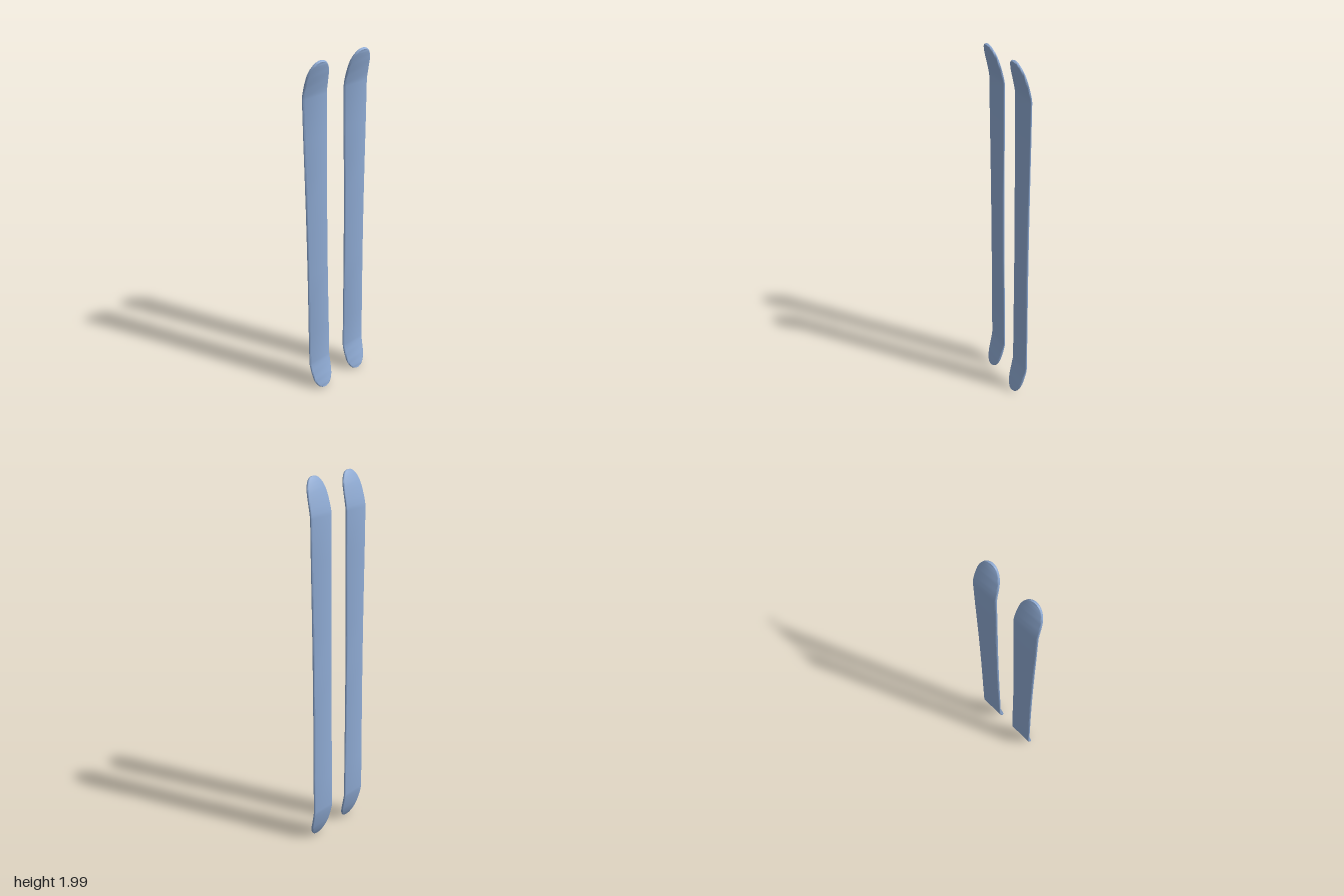
import * as THREE from 'three';
import { toCreasedNormals } from 'three/addons/utils/BufferGeometryUtils.js';

const THICK = 0.013;

// Upper half of one ski: [height from middle, base x, half width]
const HALF = [
  [0, -0.03, 0.066], [0.2, -0.03, 0.0665], [0.4, -0.03, 0.068], [0.6, -0.03, 0.07],
  [0.81, -0.03, 0.071], [0.83, -0.0275, 0.071], [0.86, -0.021, 0.07], [0.89, -0.0135, 0.068],
  [0.92, -0.005, 0.065], [0.943, 0.002, 0.06], [0.96, 0.0078, 0.053],
  [0.975, 0.0134, 0.044], [0.985, 0.0172, 0.035], [0.992, 0.0199, 0.025], [0.996, 0.0215, 0.012],
];

// Rounded-edge cross-section: [side, inset from edge, fraction of thickness]
const SECTION = [
  [-1, 0.006, 0], [-1, 0.0015, 0.15], [-1, 0, 0.4], [-1, 0.0015, 0.8], [-1, 0.007, 1],
  [1, 0.007, 1], [1, 0.0015, 0.8], [1, 0, 0.4], [1, 0.0015, 0.15], [1, 0.006, 0],
];

function skiGeometry() {
  // Mirror the half into a full run of stations from bottom to top
  const lower = HALF.slice(1).reverse().map(([y, x, w]) => [-y, x, w]);
  const rows = [...lower, ...HALF];
  const n = SECTION.length;
  const pos = [];
  const index = [];
  rows.forEach(([y, x, w], r) => {
    // Thickness runs square to the bent centre line
    const a = rows[Math.max(r - 1, 0)];
    const b = rows[Math.min(r + 1, rows.length - 1)];
    const t = new THREE.Vector2(b[1] - a[1], b[0] - a[0]).normalize();
    for (const [side, inset, v] of SECTION) {
      const z = side * Math.max(w - inset, w * 0.5);
      pos.push(x + t.y * v * THICK, y + 1 - t.x * v * THICK, z);
    }
    if (r === 0) return;
    for (let i = 0; i < n; i++) {
      const j = (i + 1) % n;
      const p = (r - 1) * n;
      const q = r * n;
      index.push(p + i, p + j, q + i, p + j, q + j, q + i);
    }
  });
  // Close both tips
  const last = (rows.length - 1) * n;
  for (let i = 1; i < n - 1; i++) {
    index.push(0, i + 1, i, last, last + i, last + i + 1);
  }
  // Orient every face outward
  for (let i = 0; i < index.length; i += 3) {
    [index[i + 1], index[i + 2]] = [index[i + 2], index[i + 1]];
  }
  const g = new THREE.BufferGeometry();
  g.setAttribute('position', new THREE.Float32BufferAttribute(pos, 3));
  g.setIndex(index);
  // Flip back if the enclosed volume came out negative
  let volume = 0;
  const [A, B, C] = [new THREE.Vector3(), new THREE.Vector3(), new THREE.Vector3()];
  for (let i = 0; i < index.length; i += 3) {
    [A, B, C].forEach((p, k) => p.fromArray(pos, index[i + k] * 3));
    volume += A.dot(B.cross(C));
  }
  if (volume < 0) g.setIndex(index.slice().reverse());
  return toCreasedNormals(g, THREE.MathUtils.degToRad(50));
}

export function createModel() {
  const group = new THREE.Group();
  group.name = 'skiPair';
  const material = new THREE.MeshStandardMaterial({ color: 0x8fabd4 });
  const geometry = skiGeometry();
  for (const [name, z] of [['frontSki', 0.124], ['backSki', -0.124]]) {
    const ski = new THREE.Mesh(geometry, material);
    ski.name = name;
    ski.position.z = z;
    group.add(ski);
  }
  return group;
}
